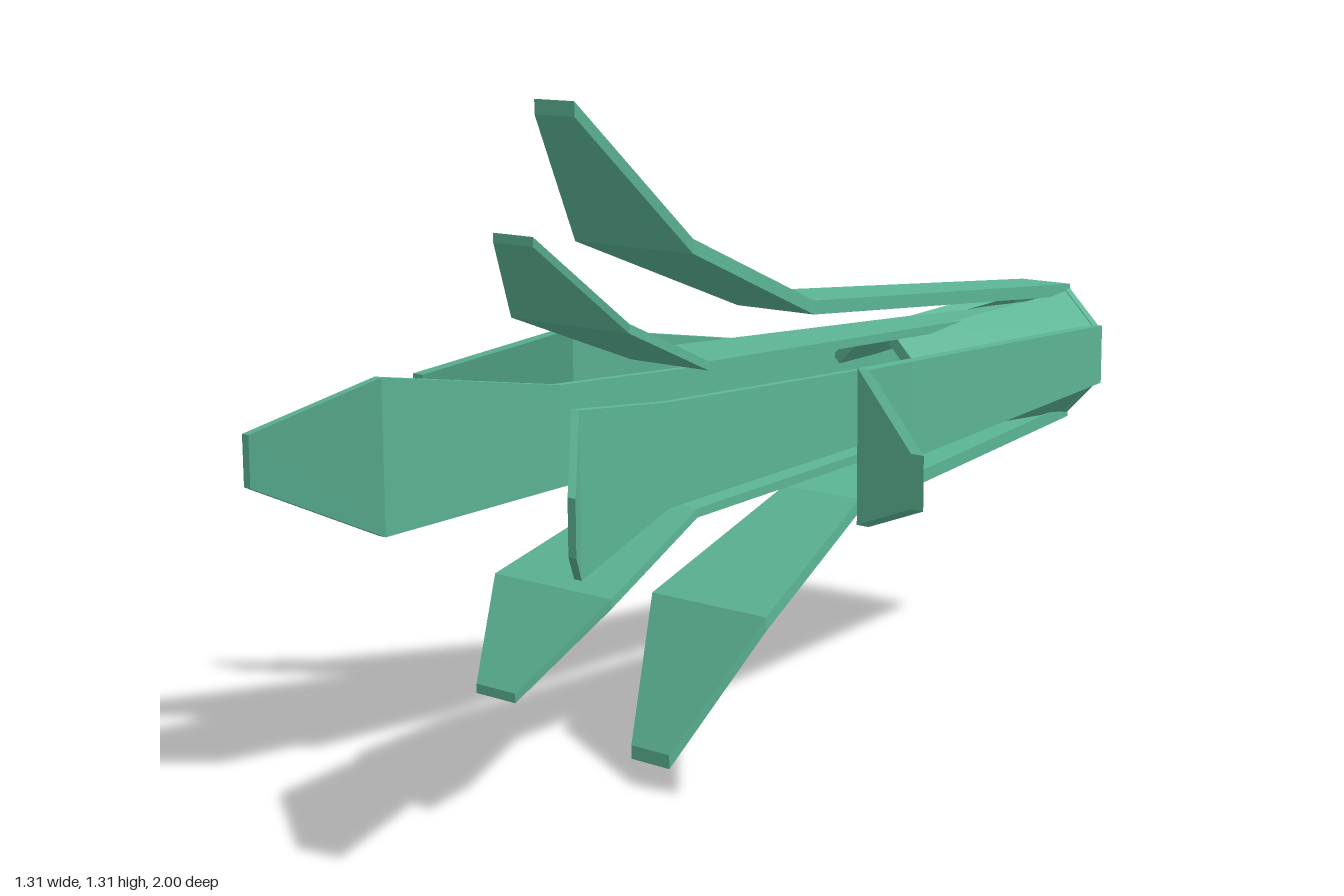
import * as THREE from 'three';

const material = new THREE.MeshStandardMaterial({ color: 0x5cb595, flatShading: true });
const AXIS_Y = 0.655;

// Bent plate swept through stations [z, radius, halfWidth]; thickness runs radially.
function bentPlate(stations, thickness) {
  const positions = [];
  const index = [];
  const h = thickness / 2;
  for (const [z, r, w] of stations) {
    positions.push(-w, r - h, z, w, r - h, z, w, r + h, z, -w, r + h, z);
  }
  for (let s = 0; s < stations.length - 1; s++) {
    for (let k = 0; k < 4; k++) {
      const a = s * 4 + k, b = s * 4 + (k + 1) % 4;
      index.push(a, b, b + 4, a, b + 4, a + 4);
    }
  }
  const e = (stations.length - 1) * 4;
  index.push(0, 2, 1, 0, 3, 2, e, e + 1, e + 2, e, e + 2, e + 3);
  const geometry = new THREE.BufferGeometry();
  geometry.setAttribute('position', new THREE.Float32BufferAttribute(positions, 3));
  geometry.setIndex(index);
  const flat = geometry.toNonIndexed();
  flat.computeVertexNormals();
  return flat;
}

export function createModel() {
  const model = new THREE.Group();
  model.name = 'flower';
  const body = new THREE.Group();
  body.name = 'flowerBody';
  body.position.y = AXIS_Y;
  model.add(body);

  const add = (name, geometry, angle = 0) => {
    const mesh = new THREE.Mesh(geometry, material);
    mesh.name = name;
    mesh.rotation.z = angle;
    body.add(mesh);
  };

  // Octagonal plate closing the back
  const plate = new THREE.CylinderGeometry(0.16, 0.16, 0.02, 8);
  plate.rotateY(Math.PI / 8).rotateX(Math.PI / 2).translate(0, 0, -0.99);
  add('basePlate', plate);

  // Outer and inner petals: bend depths differ around the axis
  const petals = [
    { name: 'top', angle: 0, outer: [-0.02, 0.4, 0.605], inner: [0.3, 0.575, 0.715] },
    { name: 'right', angle: Math.PI / 2, outer: [-0.175, 0.185, 0.365], inner: [0.47, 0.82, 1] },
    { name: 'bottom', angle: Math.PI, outer: [-0.17, 0.19, 0.365], inner: [0.335, 0.63, 0.78] },
    { name: 'left', angle: -Math.PI / 2, outer: [-0.175, 0.185, 0.365], inner: [0.47, 0.82, 1] },
  ];
  for (const { name, angle, outer, inner } of petals) {
    add(name + 'OuterPetal', bentPlate([
      [-1, 0.14, 0.066], [outer[0], 0.215, 0.1], [outer[1], 0.382, 0.15], [outer[2], 0.64, 0.05],
    ], 0.028), angle);
    add(name + 'InnerPetal', bentPlate([
      [-0.99, 0.095, 0.045], [inner[0], 0.14, 0.1], [inner[1], 0.25, 0.15], [inner[2], 0.412, 0.05],
    ], 0.018), angle);
  }

  // Short diagonal strips filling the corners near the base
  for (let i = 0; i < 4; i++) {
    add('cornerStrip', bentPlate([
      [-1, 0.135, 0.052], [-0.35, 0.105, 0.04],
    ], 0.024), Math.PI / 4 + i * Math.PI / 2);
  }
  return model;
}
